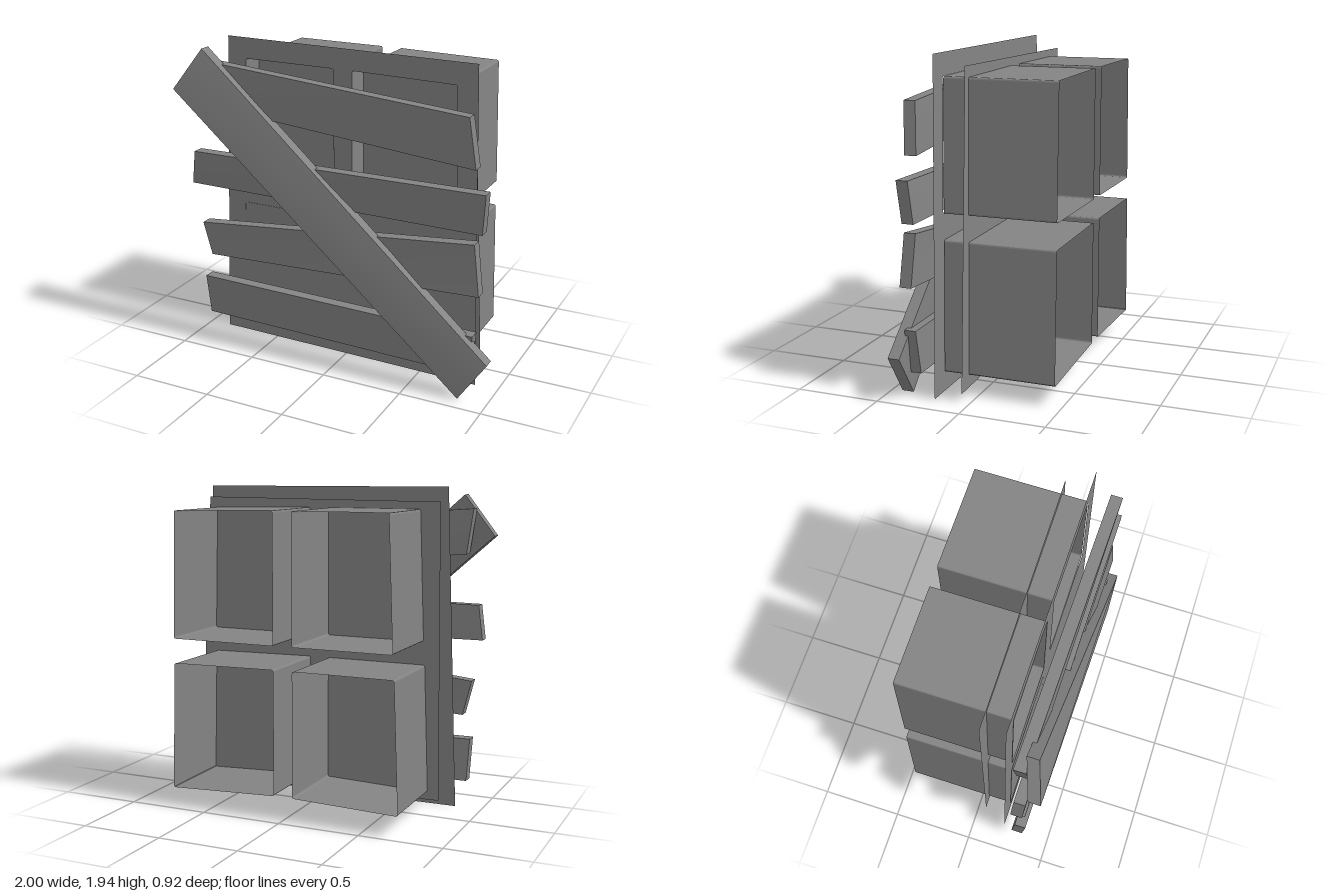
import * as THREE from 'three';

const solid = new THREE.MeshStandardMaterial({ color: 0x848484 });
const thin = new THREE.MeshStandardMaterial({ color: 0x848484, side: THREE.DoubleSide });

const FRONT = 0.205, GLASS = 0.055, BACK = -0.46;

function add(group, name, geometry, material) {
  const mesh = new THREE.Mesh(geometry, material);
  mesh.name = name;
  group.add(mesh);
  return mesh;
}

// Closed outline with small rounded corners
function roundedOutline(corners, r, path) {
  const pts = corners.map(([x, y]) => new THREE.Vector2(x, y));
  pts.forEach((p, i) => {
    const toward = (q) => p.clone().add(q.clone().sub(p).setLength(r));
    const a = toward(pts[(i + 3) % 4]), b = toward(pts[(i + 1) % 4]);
    if (i === 0) path.moveTo(a.x, a.y);
    else path.lineTo(a.x, a.y);
    path.quadraticCurveTo(p.x, p.y, b.x, b.y);
  });
  path.closePath();
  return path;
}

// Open tube of wall running from the front sheet to the back
function wallGeometry(path) {
  const pts = path.getPoints(3);
  const g = new THREE.PlaneGeometry(1, 1, pts.length - 1, 1).toNonIndexed();
  const pos = g.attributes.position;
  for (let i = 0; i < pos.count; i++) {
    const p = pts[Math.round((pos.getX(i) + 0.5) * (pts.length - 1))];
    pos.setXYZ(i, p.x, p.y, pos.getY(i) > 0 ? FRONT : BACK);
  }
  g.computeVertexNormals();
  return g;
}

// Plank from four front corners [x, y, z]: top left, top right, bottom right, bottom left
function plankGeometry(corners, thickness) {
  const g = new THREE.BoxGeometry(1, 1, 1);
  const pos = g.attributes.position;
  for (let i = 0; i < pos.count; i++) {
    const right = pos.getX(i) > 0, top = pos.getY(i) > 0;
    const c = corners[top ? (right ? 1 : 0) : (right ? 2 : 3)];
    pos.setXYZ(i, c[0], c[1], c[2] - (pos.getZ(i) > 0 ? 0 : thickness));
  }
  g.computeVertexNormals();
  return g;
}

export function createModel() {
  const model = new THREE.Group();
  model.name = 'boardedWindow';

  // Window openings, anticlockwise from bottom left
  const openings = {
    upperRight: [[-0.68, 1.04], [-0.07, 1.04], [-0.07, 1.81], [-0.65, 1.81]],
    upperLeft: [[0.05, 1.04], [0.71, 1.04], [0.69, 1.8], [0.05, 1.81]],
    lowerRight: [[-0.72, 0.13], [-0.07, 0.15], [-0.07, 0.9], [-0.69, 0.9]],
    lowerLeft: [[0.05, 0.15], [0.73, 0.12], [0.71, 0.89], [0.05, 0.9]],
  };

  // Front frame sheet with a bowed lower edge
  const frame = new THREE.Shape();
  frame.moveTo(-0.85, 0.017);
  frame.quadraticCurveTo(0, 0.075, 0.86, 0.002);
  frame.lineTo(0.81, 1.93);
  frame.lineTo(-0.77, 1.937);
  frame.closePath();

  // Deep reveals behind each opening, open at the back
  for (const [name, corners] of Object.entries(openings)) {
    const hole = roundedOutline(corners, 0.012, new THREE.Path());
    frame.holes.push(hole);
    add(model, name + 'Reveal', wallGeometry(hole), thin);
  }
  const sheet = add(model, 'frame', new THREE.ShapeGeometry(frame, 12), thin);
  sheet.position.z = FRONT;
  sheet.rotation.y = -0.005;

  // Pane sheet set back across all the reveals
  const pane = new THREE.Shape([[-0.79, 0.085], [0.835, 0.045], [0.74, 1.865], [-0.77, 1.855]]
    .map(([x, y]) => new THREE.Vector2(x, y)));
  add(model, 'pane', new THREE.ShapeGeometry(pane), thin).position.z = GLASS;

  // Planks nailed across the front
  const planks = {
    topPlank: [[-0.9, 1.81, 0.35], [0.83, 1.68, 0.378], [0.87, 1.385, 0.36], [-0.86, 1.54, 0.355]],
    upperMiddlePlank: [[-0.94, 1.24, 0.365], [0.94, 1.26, 0.38], [0.92, 1.017, 0.36], [-0.97, 1.032, 0.355]],
    lowerMiddlePlank: [[-0.91, 0.78, 0.355], [0.88, 0.958, 0.368], [0.92, 0.655, 0.382], [-0.86, 0.57, 0.345]],
    bottomPlank: [[-0.905, 0.42, 0.36], [0.89, 0.4, 0.375], [0.86, 0.145, 0.36], [-0.895, 0.163, 0.335]],
    diagonalPlank: [[-0.83, 1.89, 0.4], [1, 0.265, 0.425], [0.83, 0.015, 0.425], [-1, 1.645, 0.463]],
  };
  for (const [name, corners] of Object.entries(planks)) {
    add(model, name, plankGeometry(corners, 0.07), solid);
  }
  return model;
}
